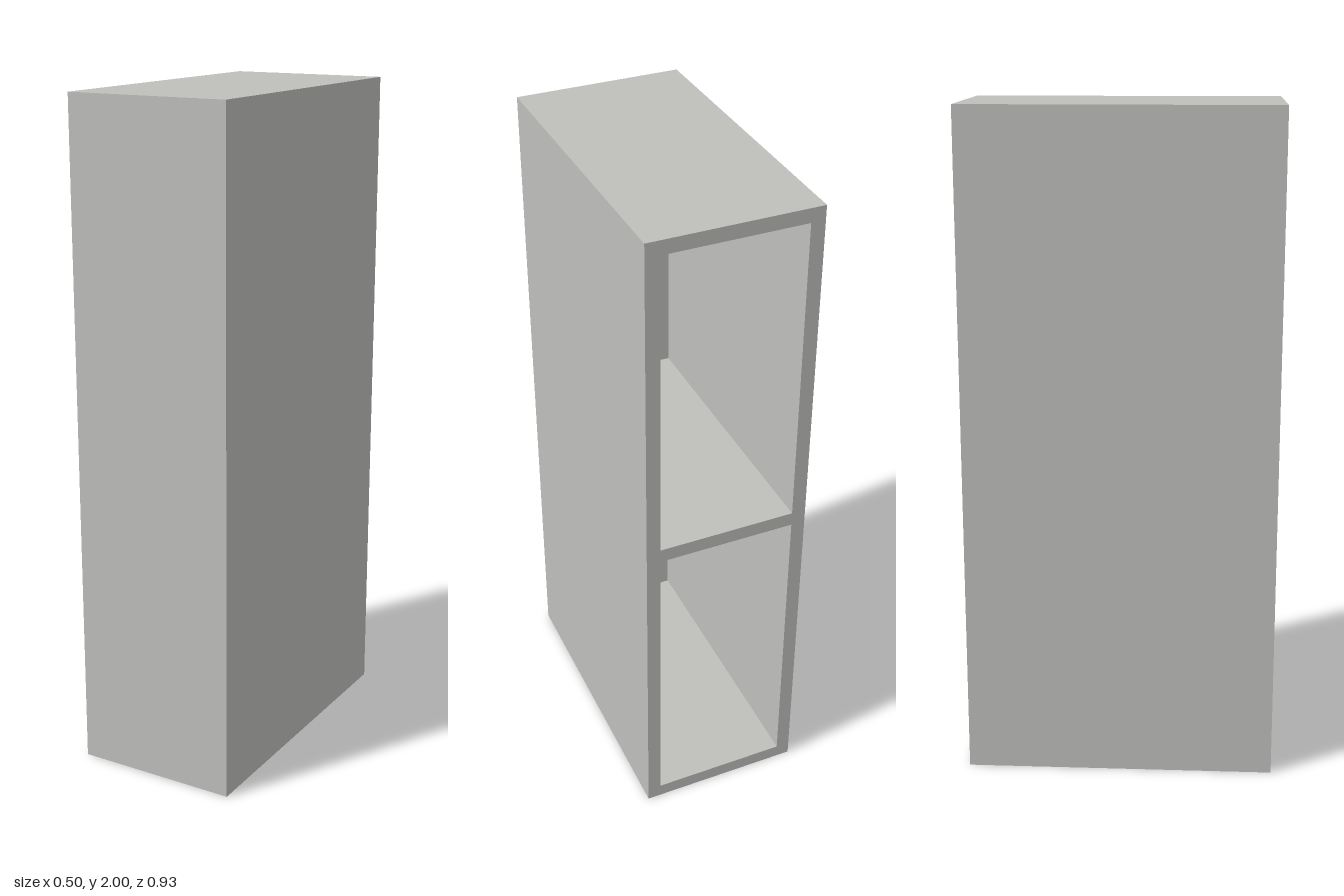
import * as THREE from 'three';

const W = 0.496, H = 2, D = 0.926; // overall size
const T = 0.042;                   // board thickness

export function createModel() {
  const cabinet = new THREE.Group();
  cabinet.name = 'cabinet';
  const greyBoard = new THREE.MeshStandardMaterial({ color: 0xbfbfbc });
  greyBoard.name = 'greyBoard';

  const board = (name, w, h, d, x, y, z) => {
    const mesh = new THREE.Mesh(new THREE.BoxGeometry(w, h, d), greyBoard);
    mesh.name = name;
    mesh.position.set(x, y, z);
    cabinet.add(mesh);
  };

  // Side walls run the full height and depth
  for (const [name, side] of [['leftSide', 1], ['rightSide', -1]]) {
    board(name, T, H, D, side * (W - T) / 2, H / 2, 0);
  }

  // Closed front panel between the sides
  const innerW = W - 2 * T;
  board('frontPanel', innerW, H, T, 0, H / 2, (D - T) / 2);

  // Bottom, middle shelf and top, open at the back
  for (const [name, y] of [['bottom', T / 2], ['middleShelf', H / 2], ['top', H - T / 2]]) {
    board(name, innerW, T, D - T, 0, y, -T / 2);
  }
  return cabinet;
}
